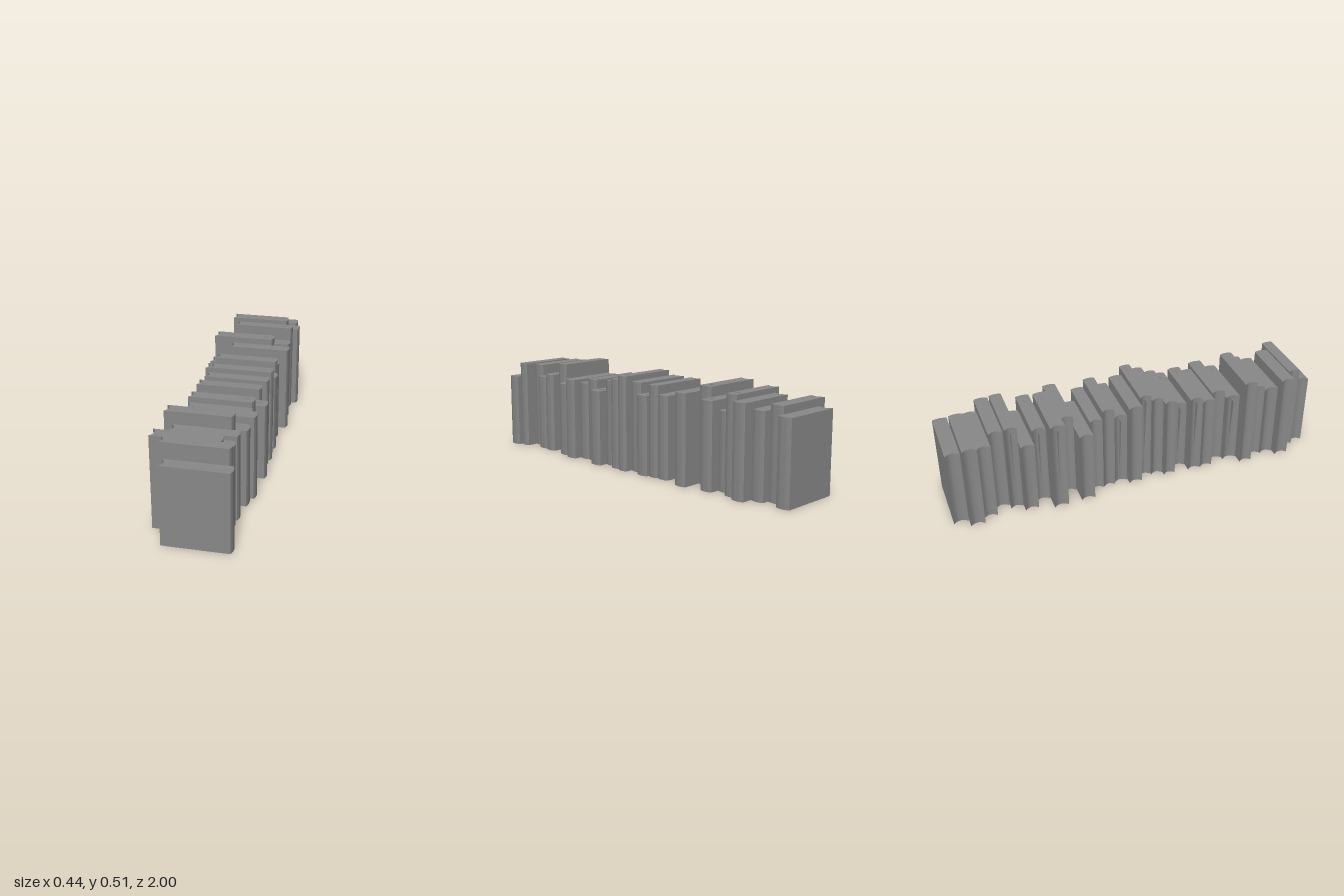
import * as THREE from 'three';
import { toCreasedNormals } from 'three/addons/utils/BufferGeometryUtils.js';

// One entry per book, front to back: z of its front cover, x of its spine, height
const BOOKS = [
  [1.0, 0.21, 0.405], [0.928, 0.19, 0.485], [0.866, 0.13, 0.479], [0.791, 0.168, 0.42],
  [0.717, 0.175, 0.44], [0.647, 0.135, 0.504], [0.578, 0.19, 0.405], [0.499, 0.21, 0.44],
  [0.424, 0.17, 0.425], [0.355, 0.17, 0.453], [0.284, 0.22, 0.405], [0.209, 0.175, 0.461],
  [0.144, 0.2, 0.48], [0.08, 0.21, 0.505], [0.018, 0.172, 0.476], [-0.055, 0.205, 0.42],
  [-0.128, 0.192, 0.48], [-0.193, 0.19, 0.435], [-0.262, 0.127, 0.402], [-0.337, 0.22, 0.47],
  [-0.408, 0.12, 0.501], [-0.487, 0.2, 0.45], [-0.561, 0.15, 0.4], [-0.634, 0.19, 0.496],
  [-0.7, 0.22, 0.47], [-0.775, 0.165, 0.436], [-0.848, 0.128, 0.465], [-0.925, 0.174, 0.427],
];
// Numbers of the books with a loose, tilted sheet inside
const LOOSE_SHEETS = [7, 10, 11, 14, 16, 21, 22, 24];
const BACK_Z = -1;
const WIDTH = 0.333;
const SPINE_BULGE = 0.008;
const PAGE_HOLLOW = 0.018;
const GAP = 0.003;
const SHEET_TILT = 0.085;

// Upright book: rounded spine towards +x, hollow fore edge towards -x
function bookGeometry(thickness, height) {
  const h = thickness / 2;
  const spine = -SPINE_BULGE;
  const shape = new THREE.Shape();
  shape.moveTo(-WIDTH, -h);
  shape.lineTo(spine, -h);
  shape.quadraticCurveTo(spine + 2 * SPINE_BULGE, 0, spine, h);
  shape.lineTo(-WIDTH, h);
  shape.quadraticCurveTo(-WIDTH + 2 * PAGE_HOLLOW, 0, -WIDTH, -h);
  const geometry = new THREE.ExtrudeGeometry(shape, {
    depth: height, bevelEnabled: false, curveSegments: 8,
  });
  geometry.rotateX(-Math.PI / 2);
  return toCreasedNormals(geometry, 0.3);
}

// Thin sheet hung from its top right corner, which just clears the book's top
function sheetGeometry(height) {
  const width = 0.308;
  const length = height - 0.035;
  return new THREE.BoxGeometry(width, length, 0.002)
    .translate(-width / 2, -length / 2, 0)
    .rotateZ(SHEET_TILT)
    .translate(-0.035, height + 0.004, 0);
}

export function createModel() {
  const group = new THREE.Group();
  group.name = 'bookRow';
  const material = new THREE.MeshStandardMaterial({ color: 0x888888 });

  // Books side by side along z
  BOOKS.forEach(([front, spineX, height], i) => {
    const last = i === BOOKS.length - 1;
    const back = last ? BACK_Z : BOOKS[i + 1][0] + GAP;
    const book = new THREE.Group();
    book.name = `book${i + 1}`;
    book.position.set(spineX, 0, (front + back) / 2);

    const body = new THREE.Mesh(bookGeometry(front - back, height), material);
    body.name = 'bookBody';
    book.add(body);

    if (LOOSE_SHEETS.includes(i + 1)) {
      const sheet = new THREE.Mesh(sheetGeometry(height), material);
      sheet.name = 'looseSheet';
      book.add(sheet);
    }
    group.add(book);
  });
  return group;
}
